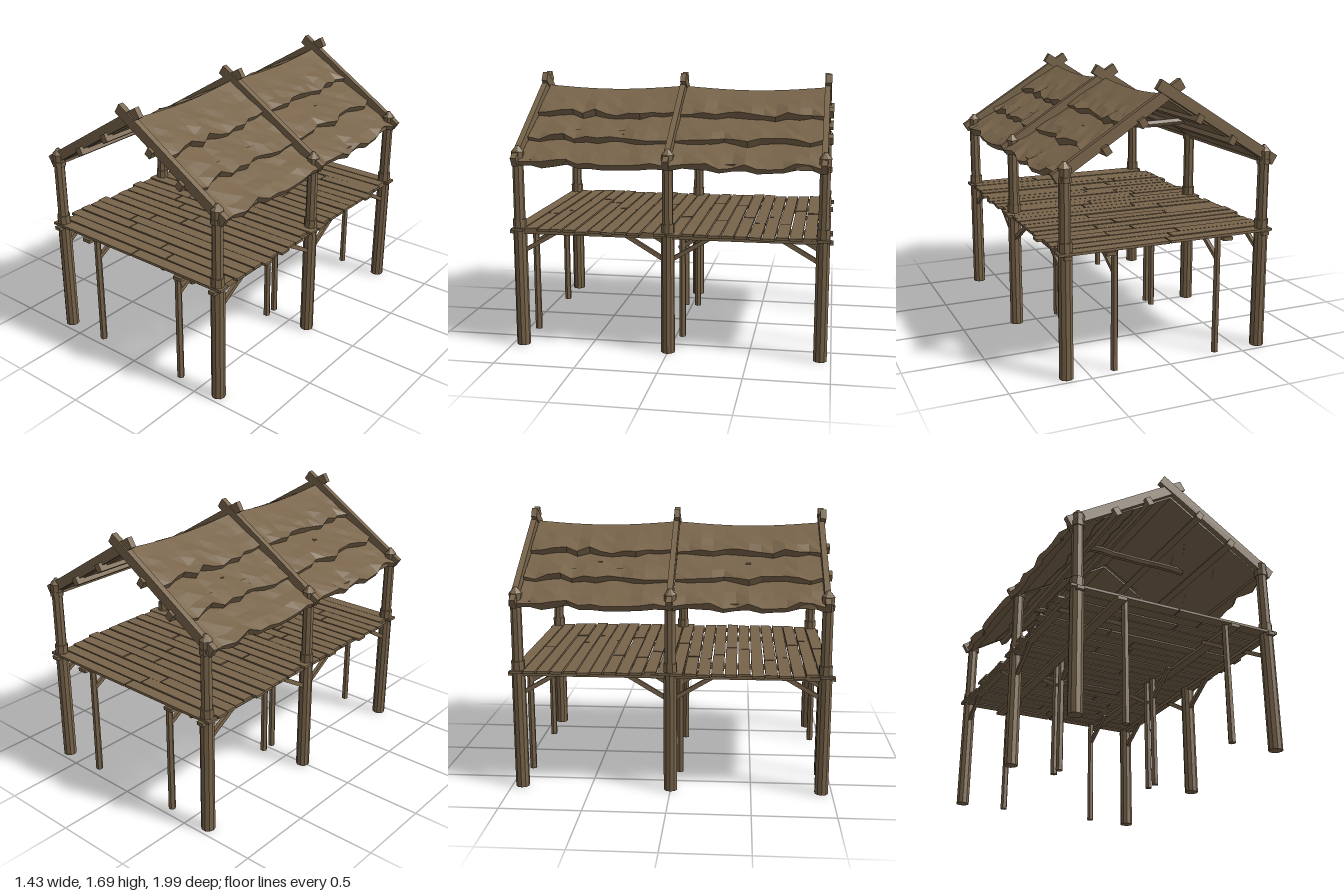
import * as THREE from 'three';

const wood = new THREE.MeshStandardMaterial({ color: 0x78644a });
wood.name = 'weathered wood';

const SLOPE = Math.atan(0.63), TAN = 0.63, COS = Math.cos(SLOPE);

// repeatable value in 0..1
const noise = (a, b = 0, c = 0) => {
  const v = Math.sin(a * 12.9898 + b * 78.233 + c * 37.719) * 43758.5453;
  return v - Math.floor(v);
};

// faceted mesh
function part(parent, name, geometry, x = 0, y = 0, z = 0) {
  const g = geometry.index ? geometry.toNonIndexed() : geometry;
  g.computeVertexNormals();
  const mesh = new THREE.Mesh(g, wood);
  mesh.name = name;
  mesh.position.set(x, y, z);
  parent.add(mesh);
  return mesh;
}

const box = (parent, name, w, h, d, x, y, z) =>
  part(parent, name, new THREE.BoxGeometry(w, h, d), x, y, z);

// upright cylinder between two heights
function log(parent, name, r0, r1, y0, y1, x, z, sides = 8) {
  const g = new THREE.CylinderGeometry(r1, r0, y1 - y0, sides);
  g.rotateY(Math.PI / sides);
  return part(parent, name, g, x, (y0 + y1) / 2, z);
}

// square bar in the y-z plane between two points
function brace(parent, x, z0, y0, z1, y1) {
  const len = Math.hypot(z1 - z0, y1 - y0);
  const m = box(parent, 'brace', 0.022, 0.026, len, x, (y0 + y1) / 2, (z0 + z1) / 2);
  m.rotation.x = -Math.atan2(y1 - y0, z1 - z0);
}

// main post with collar, binding and pointed cap
function mainPost(parent, x, z) {
  const g = new THREE.Group();
  g.name = 'mainPost';
  g.position.set(x, 0, z);
  parent.add(g);
  log(g, 'lowerPost', 0.043, 0.042, 0, 0.76, 0, 0, 10);
  log(g, 'postCollar', 0.042, 0.042, 0.75, 0.815, 0, 0);
  log(g, 'upperPost', 0.035, 0.034, 0.8, 1.2, 0, 0);
  log(g, 'postBinding', 0.042, 0.042, 1.155, 1.185, 0, 0);
  log(g, 'postHead', 0.037, 0.04, 1.185, 1.235, 0, 0);
  log(g, 'postCap', 0.04, 0.008, 1.235, 1.272, 0, 0);
}

// one ragged sheet of roof covering, running down the slope
function roofCourse(parent, row, bay, x0, x1) {
  const nu = 4, nz = 12, width = 0.9;
  const len = (x1 - x0) / COS;
  const g = new THREE.BoxGeometry(len, 0.01, width, nu, 1, nz);
  const p = g.attributes.position;
  for (let i = 0; i < p.count; i++) {
    const u = p.getX(i) / len + 0.5, w = p.getZ(i) / width + 0.5;
    const k = Math.round(w * nz), j = Math.round(u * nu);
    const top = p.getY(i) > 0;
    const seed = row * 7 + bay * 3;
    let x = x0 / COS + u * len, y = 0;
    // ragged lower edge
    x += u * u * (noise(k, seed) - 0.5) * 0.055;
    if (top) {
      y = 0.03 + 0.016 * u - 0.02 * Math.sin(Math.PI * w) * (1 - u);
      y += (noise(k, j, seed) - 0.5) * 0.02 * u;
      y += 0.008 * u * Math.sin(k * 1.7 + seed);
      if (row > 0) y -= 0.018 * (1 - u);
    } else if (row > 0) y = 0.003 * row;
    // mitre at the ridge
    if (row === 0 && j === 0) x -= y * TAN;
    p.setXYZ(i, x, y, p.getZ(i));
  }
  part(parent, 'roofCourse', g, 0, 0, bay * 0.467);
}

// everything on one side of the ridge
function buildHalf() {
  const half = new THREE.Group();

  for (const z of [-0.935, 0, 0.935]) {
    mainPost(half, 0.637, z);
    // rafter crossing past the ridge
    const shift = z === 0 ? 0.003 : 0.004;
    const xa = -0.075, xb = 0.7, xm = (xa + xb) / 2;
    const r = box(half, 'rafter', (xb - xa) / COS, 0.064, 0.036, xm, 1.617 - TAN * xm, z + shift);
    r.rotation.z = -SLOPE;
  }

  // thin inner posts, paired at the middle
  for (const z of [-0.935, -0.042, 0.042, 0.935])
    log(half, 'innerPost', 0.023, 0.021, 0, 0.74, 0.337, z, 6);

  // floor beams and braces
  box(half, 'innerFloorBeam', 0.06, 0.022, 1.98, 0.378, 0.73, 0);
  box(half, 'outerFloorBeam', 0.045, 0.022, 1.99, 0.637, 0.734, 0);
  for (const x of [0.337, 0.637])
    for (const s of [-1, 1]) {
      brace(half, x, s * 0.93, 0.6, s * 0.69, 0.74);
      brace(half, x, s * 0.02, 0.59, s * 0.27, 0.74);
    }

  // purlins and eave beam
  for (const [x, y] of [[0.178, 1.457], [0.398, 1.318]]) {
    const b = box(half, 'purlin', 0.042, 0.052, 1.95, x, y, 0);
    b.rotation.z = -SLOPE;
  }
  box(half, 'eaveBeam', 0.04, 0.026, 1.93, 0.645, 1.177, 0);

  // layered roof covering
  const roof = new THREE.Group();
  roof.name = 'roofSlope';
  roof.position.y = 1.568;
  roof.rotation.z = -SLOPE;
  half.add(roof);
  for (const bay of [-1, 1])
    [[0, 0.25], [0.2, 0.465], [0.42, 0.665]].forEach(([a, b], row) => roofCourse(roof, row, bay, a, b));
  return half;
}

export function createModel() {
  const model = new THREE.Group();
  model.name = 'raisedShelter';

  const left = buildHalf();
  left.name = 'leftHalf';
  const right = buildHalf();
  right.name = 'rightHalf';
  right.rotation.y = Math.PI;
  model.add(left, right);

  // uneven floor planks, each row split at a different place
  const floor = new THREE.Group();
  floor.name = 'floor';
  model.add(floor);
  const rows = 24, pitch = 1.96 / rows;
  for (let i = 0; i < rows; i++) {
    const z = -0.98 + pitch * (i + 0.5);
    const edge = i === 0 || i === rows - 1;
    const a = edge ? -0.69 : -0.655 - noise(i, 1) * 0.052;
    const b = edge ? 0.69 : 0.655 + noise(i, 2) * 0.052;
    const c = edge ? 0 : (noise(i, 3) - 0.5) * 0.7;
    for (const [p, q, n] of [[a, c - 0.004, 4], [c + 0.004, b, 5]]) {
      const plank = box(floor, 'plank', q - p, 0.016, pitch - 0.008,
        (p + q) / 2, 0.752 + (noise(i, n) - 0.5) * 0.005, z);
      plank.rotation.y = edge ? 0 : (noise(i, n, 2) - 0.5) * 0.012;
    }
  }

  // rough cross ties halfway along each bay
  for (const s of [-1, 1]) {
    const g = new THREE.CylinderGeometry(0.023, 0.023, 0.68, 6, 8);
    g.rotateZ(Math.PI / 2);
    const p = g.attributes.position;
    for (let i = 0; i < p.count; i++) {
      const k = Math.round(p.getX(i) * 12);
      p.setY(i, p.getY(i) + (noise(k, s) - 0.5) * 0.012);
      p.setZ(i, p.getZ(i) + (noise(k, s, 5) - 0.5) * 0.014);
    }
    part(model, 'crossTie', g, 0, 1.363, s * 0.467);
  }
  return model;
}
